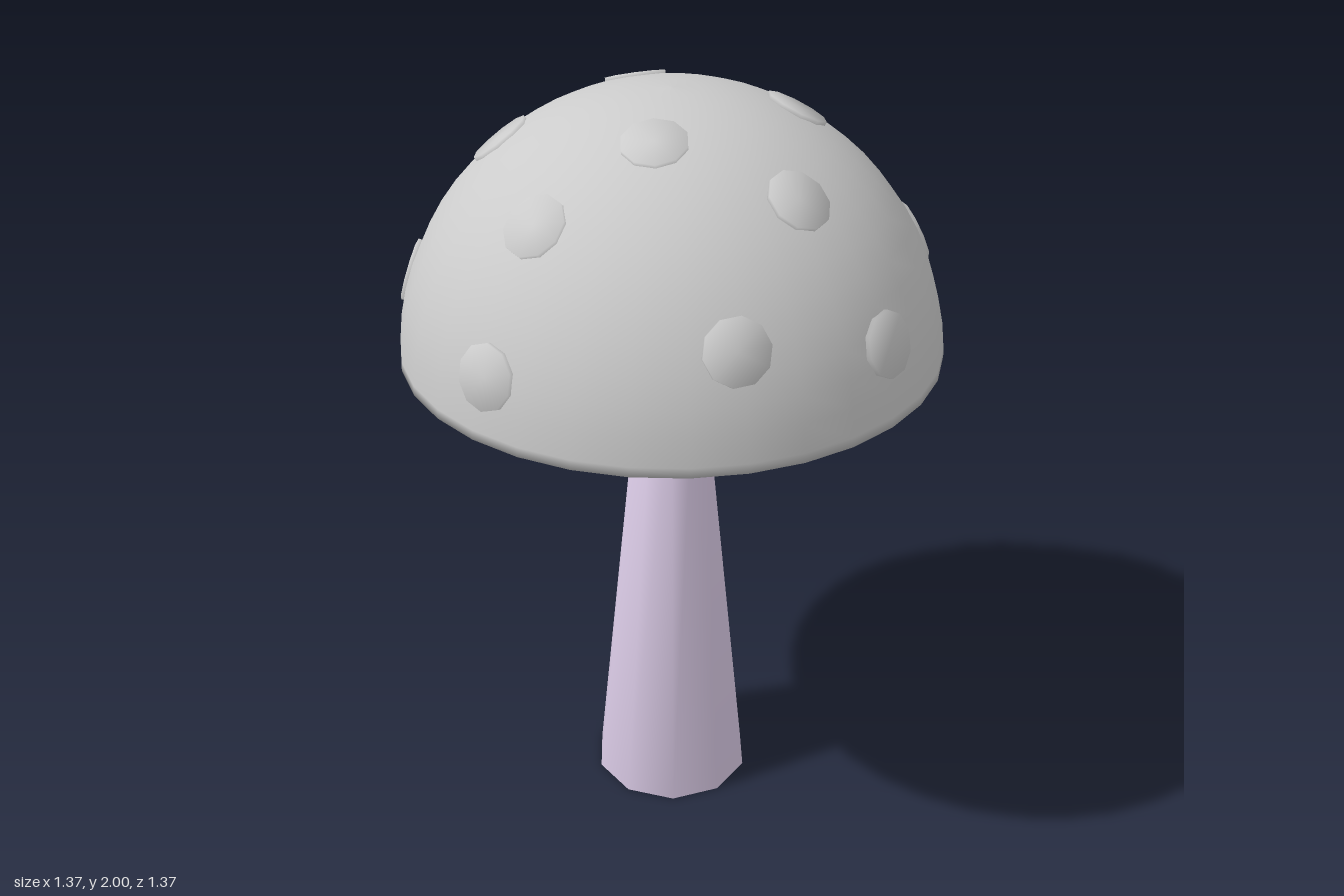
import * as THREE from 'three';
import { mergeVertices } from 'three/addons/utils/BufferGeometryUtils.js';

const CAP_RADIUS = 0.683;
const CAP_CENTRE = 1.317; // centre of the sphere the cap is cut from
const CAP_BASE = 1.342;

const grey = new THREE.MeshStandardMaterial({ color: 0xcccccc });
const lilac = new THREE.MeshStandardMaterial({ color: 0xe0d0ec });

// Joins a cylinder's sides and ends so that its shading is smooth all over
function smoothCylinder(top, bottom, height, sides) {
  const cylinder = new THREE.CylinderGeometry(top, bottom, height, sides);
  cylinder.deleteAttribute('normal');
  cylinder.deleteAttribute('uv');
  const geometry = mergeVertices(cylinder);
  geometry.computeVertexNormals();
  return geometry;
}

function addMesh(parent, name, geometry, material, y = 0) {
  const mesh = new THREE.Mesh(geometry, material);
  mesh.name = name;
  mesh.position.y = y;
  parent.add(mesh);
  return mesh;
}

// Dome with a flat underside and a narrow rim band
function capGeometry() {
  const profile = [new THREE.Vector2(0, CAP_BASE)];
  const start = Math.asin((CAP_BASE - CAP_CENTRE) / CAP_RADIUS);
  const angles = [start, start + 0.035];
  const rings = 15;
  for (let i = 1; i <= rings; i++) {
    angles.push(THREE.MathUtils.lerp(start + 0.035, Math.PI / 2, i / rings));
  }
  for (const a of angles) {
    profile.push(new THREE.Vector2(
      Math.max(0, CAP_RADIUS * Math.cos(a)),
      CAP_CENTRE + CAP_RADIUS * Math.sin(a)
    ));
  }
  return new THREE.LatheGeometry(profile, 32);
}

// Spot centres over the cap, as [x, z]
const SPOTS = [
  [-0.18, 0.174], [0.075, -0.248], [0.282, 0.127], [-0.3, -0.29],
  [0.03, 0.43], [-0.466, 0.112], [0.53, -0.23], [-0.09, -0.57],
  [-0.25, 0.565], [0.575, 0.26], [0.14, 0.632], [-0.64, 0.156],
  [0.31, -0.58], [-0.495, -0.428],
];

export function createModel() {
  const model = new THREE.Group();
  model.name = 'mushroom';

  // Tapered stem and the ball that joins it to the cap
  addMesh(model, 'stem', smoothCylinder(0.09, 0.215, 1.22, 10), lilac, 0.61);
  addMesh(model, 'neck', new THREE.SphereGeometry(0.163, 20, 14), grey, 1.35);
  addMesh(model, 'cap', capGeometry(), grey);

  // Thin discs lying tangent to the cap
  const spots = new THREE.Group();
  spots.name = 'spots';
  spots.position.y = CAP_CENTRE;
  model.add(spots);
  const thickness = 0.03;
  const disc = smoothCylinder(0.079, 0.079, thickness, 10);
  const up = new THREE.Vector3(0, 1, 0);
  for (const [x, z] of SPOTS) {
    const y = Math.sqrt(0.468 - x * x - z * z);
    const direction = new THREE.Vector3(x, y, z).normalize();
    const spot = addMesh(spots, 'spot', disc, grey);
    spot.position.copy(direction).multiplyScalar(CAP_RADIUS + 0.004 - thickness / 2);
    spot.quaternion.setFromUnitVectors(up, direction);
  }
  return model;
}
